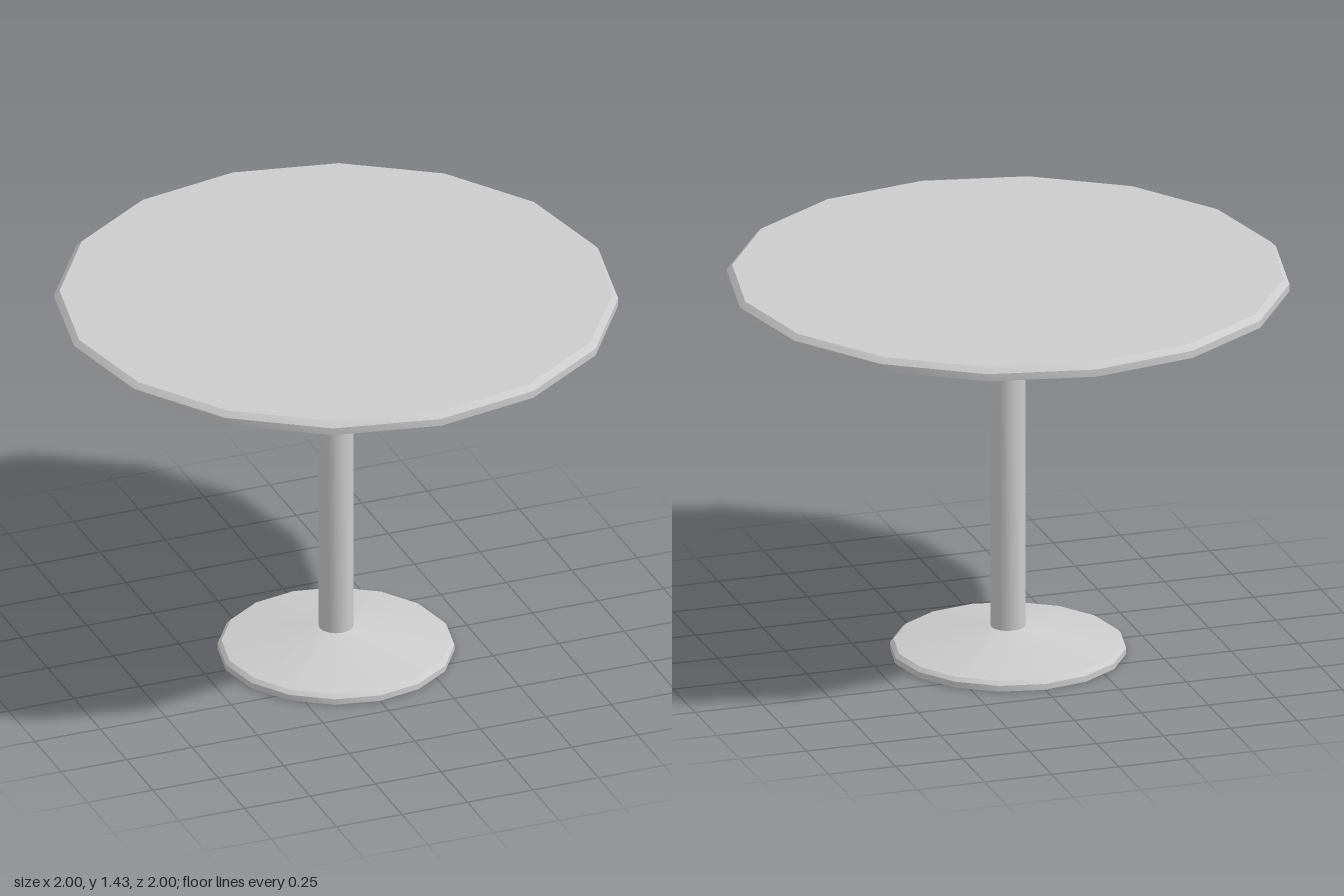
import * as THREE from 'three';
import { toCreasedNormals } from 'three/addons/utils/BufferGeometryUtils.js';

const SIDES = 16;

// Revolves a [radius, height] profile, listed from bottom to top
function turned(name, profile, side = THREE.FrontSide) {
  const points = profile.map(([r, y]) => new THREE.Vector2(r, y));
  const geometry = toCreasedNormals(new THREE.LatheGeometry(points, SIDES), 0.5);
  const mesh = new THREE.Mesh(geometry, new THREE.MeshStandardMaterial({ color: 0xcccccc, side }));
  mesh.name = name;
  return mesh;
}

export function createModel() {
  const table = new THREE.Group();
  table.name = 'roundTable';

  // Round top with a bevelled upper edge and a flat underside
  table.add(turned('tabletop', [[0, 1.385], [1, 1.385], [1, 1.412], [0.98, 1.432], [0, 1.432]]));

  // Hollow column, open where it meets the base
  table.add(turned('column', [[0.062, 0.098], [0.062, 1.385]], THREE.DoubleSide));

  // Hollow conical foot with a bevelled rim
  table.add(turned('base', [[0.42, 0], [0.42, 0.022], [0.406, 0.036], [0.062, 0.098]], THREE.DoubleSide));

  return table;
}
